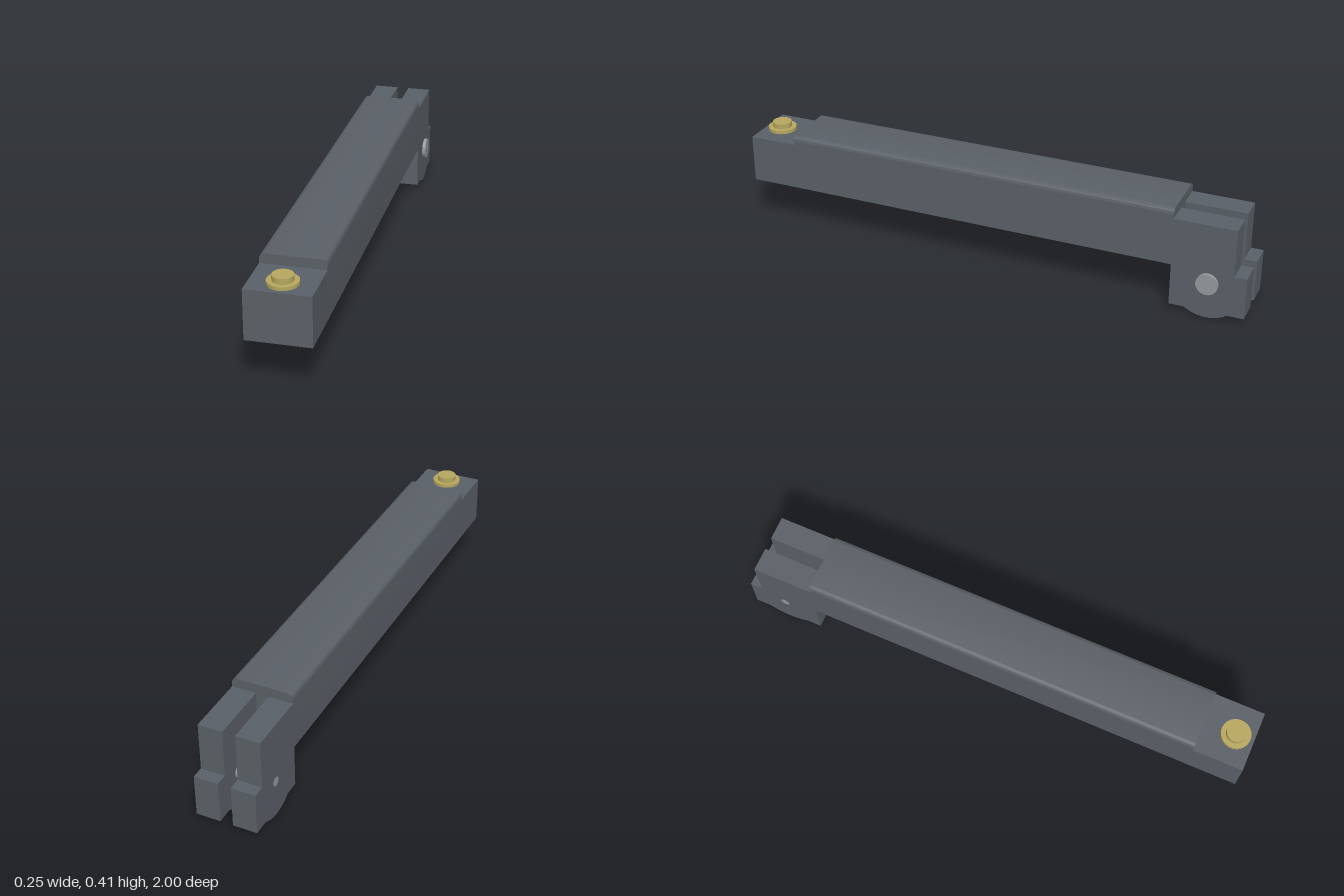
import * as THREE from 'three';
import { toCreasedNormals } from 'three/addons/utils/BufferGeometryUtils.js';

export function createModel() {
  const model = new THREE.Group();
  model.name = 'leverArm';
  const mat = (name, color) => {
    const m = new THREE.MeshStandardMaterial({ color });
    m.name = name;
    return m;
  };
  const dark = mat('darkGrey', 0x5a6067);
  const steel = mat('steel', 0x94999c);
  const brass = mat('brass', 0xb7a75f);

  const CX = -0.007, HALF = 0.116;           // arm centre line and half width
  const BOTTOM = 0.188, STEP = 0.373, TOP = 0.41;
  const WALL = 0.013, CEILING = 0.355;
  const PIN_Y = 0.141, PIN_Z = -0.858;

  const add = (name, geometry, material, x = 0, y = 0, z = 0) => {
    const mesh = new THREE.Mesh(geometry, material);
    mesh.name = name;
    mesh.position.set(x, y, z);
    model.add(mesh);
    return mesh;
  };
  const extrude = (shape, depth) => toCreasedNormals(
    new THREE.ExtrudeGeometry(shape, { depth, bevelEnabled: false, curveSegments: 16 }), 0.5);

  // Cross-section of the arm: rounded top corners, optionally open underneath
  const section = (top, radius, hollow) => {
    const s = new THREE.Shape();
    const w = HALF - WALL;
    s.moveTo(-HALF, BOTTOM);
    if (hollow) {
      s.lineTo(-w, BOTTOM);
      s.lineTo(-w, CEILING);
      s.lineTo(w, CEILING);
      s.lineTo(w, BOTTOM);
    }
    s.lineTo(HALF, BOTTOM);
    s.lineTo(HALF, top - radius);
    if (radius) s.absarc(HALF - radius, top - radius, radius, 0, Math.PI / 2, false);
    else s.lineTo(-HALF, top);
    if (radius) s.absarc(-HALF + radius, top - radius, radius, Math.PI / 2, Math.PI, false);
    s.closePath();
    return s;
  };
  const run = (name, shape, z0, z1) => add(name, extrude(shape, z1 - z0), dark, CX, 0, z0);
  run('armBackBlock', section(TOP, 0.02, false), -0.72, -0.62);
  run('armChannel', section(TOP, 0.02, true), -0.62, 0.81);
  run('frontChannel', section(STEP, 0, true), 0.81, 1 - WALL);
  run('frontWall', section(STEP, 0, false), 1 - WALL, 1);

  // Pair of hinge lugs, drawn from the side (shape x = model z)
  const lug = new THREE.Shape();
  lug.moveTo(-0.72, STEP);
  lug.lineTo(-0.953, STEP);
  lug.lineTo(-0.953, BOTTOM);
  lug.lineTo(-1, BOTTOM);
  lug.lineTo(-1, 0.025);
  const a = Math.asin((PIN_Y - 0.025) / PIN_Y);
  lug.absarc(PIN_Z, PIN_Y, PIN_Y, Math.PI + a, 2 * Math.PI - a, false);
  lug.lineTo(-0.72, 0.025);
  lug.closePath();
  const LUG = 0.092;
  const lugGeometry = extrude(lug, LUG).rotateY(-Math.PI / 2);
  add('leftLug', lugGeometry, dark, CX + HALF);
  add('rightLug', lugGeometry, dark, CX - HALF + LUG);

  // Hinge pin with its head on the left and a narrow tip on the right
  const pin = (name, radius, x0, x1) => add(name,
    new THREE.CylinderGeometry(radius, radius, x1 - x0, 40).rotateZ(Math.PI / 2),
    steel, (x0 + x1) / 2, PIN_Y, PIN_Z);
  pin('pinShaft', 0.027, -0.034, 0.02);
  pin('pinHead', 0.041, CX + HALF, 0.122);
  pin('pinTip', 0.018, CX - HALF - 0.001, CX - HALF + 0.008);

  // Brass button on the lowered front end
  const disc = (name, radius, y0, y1) => add(name,
    new THREE.CylinderGeometry(radius, radius, y1 - y0, 48), brass, CX, (y0 + y1) / 2, 0.93);
  disc('buttonFlange', 0.055, STEP, 0.386);
  disc('buttonCap', 0.037, 0.386, 0.406);

  return model;
}
